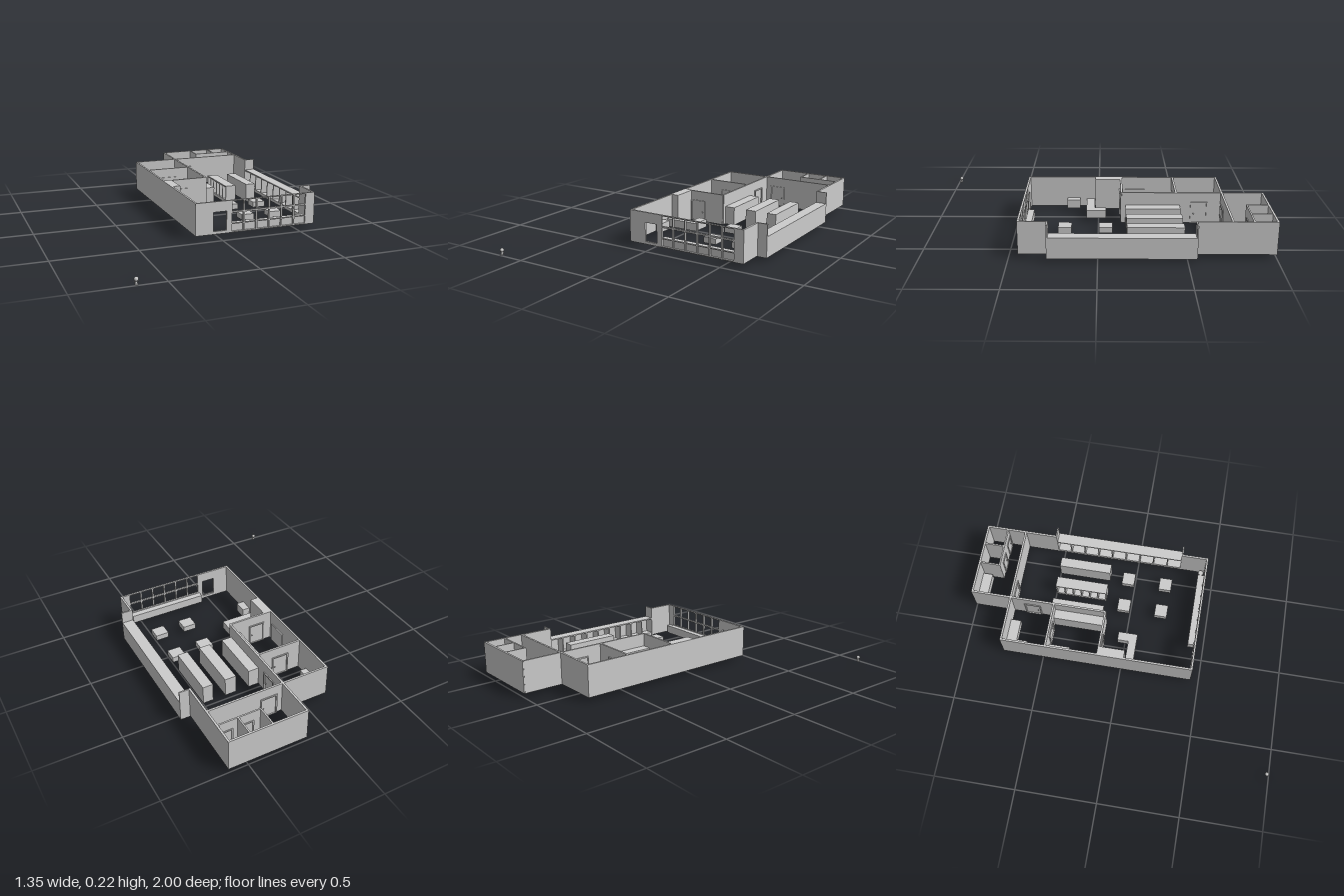
import * as THREE from 'three';

const material = new THREE.MeshStandardMaterial({ color: 0xcccccc, flatShading: true });
const smooth = new THREE.MeshStandardMaterial({ color: 0xcccccc });
const BASE = 0.025, TOP = 0.22, T = 0.012;

export function createModel() {
  const model = new THREE.Group();
  model.name = 'shopBuilding';

  const add = (name, geometry, parent = model, mat = material) => {
    const mesh = new THREE.Mesh(geometry, mat);
    mesh.name = name;
    parent.add(mesh);
    return mesh;
  };

  // Box given by its limits on each axis
  const box = (name, x0, x1, y0, y1, z0, z1, parent = model) => {
    const mesh = add(name, new THREE.BoxGeometry(x1 - x0, y1 - y0, z1 - z0), parent);
    mesh.position.set((x0 + x1) / 2, (y0 + y1) / 2, (z0 + z1) / 2);
    return mesh;
  };

  const rectangle = (Type, u0, u1, v0, v1) => new Type([
    new THREE.Vector2(u0, v0), new THREE.Vector2(u1, v0),
    new THREE.Vector2(u1, v1), new THREE.Vector2(u0, v1)]);

  // Upright slab with rectangular holes; along 'x' or 'z', centred at c
  const slab = (name, along, c, u0, u1, v0, v1, holes = [], thick = T, parent = model) => {
    const shape = rectangle(THREE.Shape, u0, u1, v0, v1);
    for (const h of holes) shape.holes.push(rectangle(THREE.Path, ...h));
    const geometry = new THREE.ExtrudeGeometry(shape, { depth: thick, bevelEnabled: false });
    geometry.translate(0, 0, -thick / 2);
    if (along === 'z') geometry.rotateY(-Math.PI / 2);
    const mesh = add(name, geometry, parent);
    if (along === 'z') mesh.position.x = c; else mesh.position.z = c;
    return mesh;
  };

  // Closed door: casing, recessed leaf and a knob on each side
  const door = (along, c, u0, u1, thick = 0.024) => {
    const group = new THREE.Group();
    group.name = 'door';
    model.add(group);
    const f = 0.008, top = 0.16;
    slab('doorCasing', along, c, u0, u1, BASE, top, [[u0 + f, u1 - f, BASE + 0.002, top - f]], thick, group);
    slab('doorLeaf', along, c, u0 + f, u1 - f, BASE, top - f, [], 0.008, group);
    for (const side of [-1, 1]) {
      const knob = add('doorKnob', new THREE.SphereGeometry(0.004, 10, 8), group, smooth);
      const u = u1 - f - 0.012, d = c + side * 0.007;
      knob.position.set(along === 'x' ? u : d, 0.085, along === 'x' ? d : u);
    }
    return [u0 + f, u1 - f, BASE + 0.002, top - f];
  };

  // Outer walls
  slab('rightWall', 'z', -0.141, -0.75, 0.447, BASE, TOP);
  slab('backWall', 'x', -0.994, 0.14, 0.617, BASE, TOP);
  slab('leftWallBack', 'z', 0.611, -1, -0.55, BASE, TOP);
  slab('leftWallFront', 'z', 0.611, 0.283, 0.447, BASE, TOP);

  // Front wall: entrance and six columns of windows
  const openings = [[-0.037, 0.045, 0.042, 0.158]];
  for (let i = 0; i < 6; i++) {
    const x = 0.079 + i * 0.0812;
    openings.push([x, x + 0.072, 0.153, 0.214]);
    openings.push([x, x + 0.072, 0.081, 0.144]);
    openings.push([x, x + 0.072, 0.031, 0.076]);
  }
  slab('frontWall', 'x', 0.441, -0.147, 0.617, BASE, TOP, openings);

  // Inner walls with their doors
  const crossDoor = door('x', -0.747, 0.182, 0.288);
  slab('crossWall', 'x', -0.747, -0.147, 0.611, BASE, TOP, [crossDoor]);
  const sideDoor = door('z', 0.145, -0.665, -0.56);
  slab('longPartition', 'z', 0.145, -0.994, -0.142, BASE, TOP, [sideDoor]);
  const officeDoor = door('x', -0.471, -0.058, 0.05);
  slab('officeWall', 'x', -0.471, -0.141, 0.145, BASE, TOP, [officeDoor]);
  const storeDoor = door('x', -0.142, -0.088, 0.017);
  slab('storeWall', 'x', -0.142, -0.141, 0.145, BASE, TOP, [storeDoor]);

  // Two small cubicles in the back corner
  for (const x of [0.352, 0.488]) slab('cubicleSide', 'z', x, -0.994, -0.865, BASE, TOP, [], 0.009);
  const cubicleDoors = [door('x', -0.865, 0.395, 0.472, 0.018), door('x', -0.865, 0.52, 0.598, 0.018)];
  slab('cubicleFront', 'x', -0.865, 0.348, 0.611, BASE, TOP, cubicleDoors, 0.009);

  // Case with open compartments facing -x: shell, back and dividers
  const shelfCase = (name, x0, x1, z0, z1, top, count, bottom = BASE) => {
    const group = new THREE.Group();
    group.name = name;
    model.add(group);
    const t = 0.008, pitch = (z1 - z0 - t) / count;
    box('shelfBack', x1 - 0.01, x1, bottom, top, z0, z1, group);
    box('shelfTop', x0, x1, top - t, top, z0, z1, group);
    box('shelfBottom', x0, x1, bottom, bottom + 0.02, z0, z1, group);
    for (let i = 0; i <= count; i++) {
      const z = z0 + i * pitch;
      box('shelfDivider', x0, x1, bottom, top, z, z + t, group);
    }
  };

  // Projecting bay with full-height ends
  shelfCase('bayShelves', 0.607, 0.675, -0.55, 0.283, 0.147, 9, 0.022);
  box('bayEndBack', 0.605, 0.675, 0.022, TOP, -0.551, -0.543);
  box('bayEndFront', 0.605, 0.675, 0.022, TOP, 0.275, 0.284);

  // Sales room shelving and low display tables
  box('wallShelf', 0.151, 0.215, BASE, 0.14, -0.495, -0.165);
  shelfCase('middleShelf', 0.298, 0.367, -0.495, -0.165, 0.14, 6);
  box('leftShelf', 0.445, 0.507, BASE, 0.14, -0.495, -0.165);
  for (const x of [0.236, 0.424])
    for (const z of [-0.085, 0.158]) box('displayTable', x, x + 0.081, BASE, 0.06, z, z + 0.08);

  // Window bench with a round bin beside it
  box('windowBench', 0.07, 0.56, BASE, 0.077, 0.398, 0.435);
  const bin = add('bin', new THREE.CylinderGeometry(0.017, 0.014, 0.05, 16), model, smooth);
  bin.position.set(0.577, BASE + 0.025, 0.415);

  // Fixed furniture: x range, top, z range
  const furniture = [
    ['tallCabinet', -0.135, -0.088, TOP, -0.136, 0.02],
    ['salesCounter', -0.135, 0.081, 0.075, 0.023, 0.075],
    ['counterReturn', 0.026, 0.081, 0.075, 0.053 - 0.1, 0.023],
    ['entranceCabinet', -0.135, -0.088, 0.08, 0.118, 0.2],
    ['storeShelf', 0.08, 0.139, 0.14, -0.465, -0.148],
    ['storeCabinet', -0.135, -0.08, 0.09, -0.465, -0.335],
    ['wallBoard', -0.135, -0.128, 0.14, -0.295, -0.17],
    ['officeDesk', -0.135, 0.05, 0.08, -0.741, -0.677],
    ['officeDeskReturn', -0.135, -0.08, 0.08, -0.677, -0.61],
    ['officeCabinet', -0.135, -0.094, 0.07, -0.61, -0.56],
    ['backCounter', 0.151, 0.336, 0.085, -0.988, -0.927],
  ];
  for (const [name, x0, x1, top, z0, z1] of furniture) box(name, x0, x1, BASE, top, z0, z1);

  // Small standing figure outside the building
  const figure = new THREE.Group();
  figure.name = 'figure';
  figure.position.set(-0.66, 0, 0.985);
  model.add(figure);
  const head = add('head', new THREE.SphereGeometry(0.012, 16, 12), figure, smooth);
  head.position.y = 0.029;
  const body = add('body', new THREE.CylinderGeometry(0.005, 0.008, 0.016, 12), figure, smooth);
  body.position.y = 0.014;
  for (const s of [-1, 1]) {
    const arm = add('arm', new THREE.CapsuleGeometry(0.002, 0.008, 4, 8), figure, smooth);
    arm.rotation.z = s * 1.2;
    arm.position.set(s * 0.009, 0.018, 0);
    const leg = add('leg', new THREE.CylinderGeometry(0.003, 0.003, 0.008, 8), figure, smooth);
    leg.position.set(s * 0.004, 0.004, 0);
    const spark = add('floatingDot', new THREE.SphereGeometry(0.001, 6, 4), figure, smooth);
    spark.position.set(s * 0.003, 0.055, 0);
  }
  box('feet', -0.007, 0.007, 0, 0.003, -0.004, 0.015, figure);

  return model;
}
